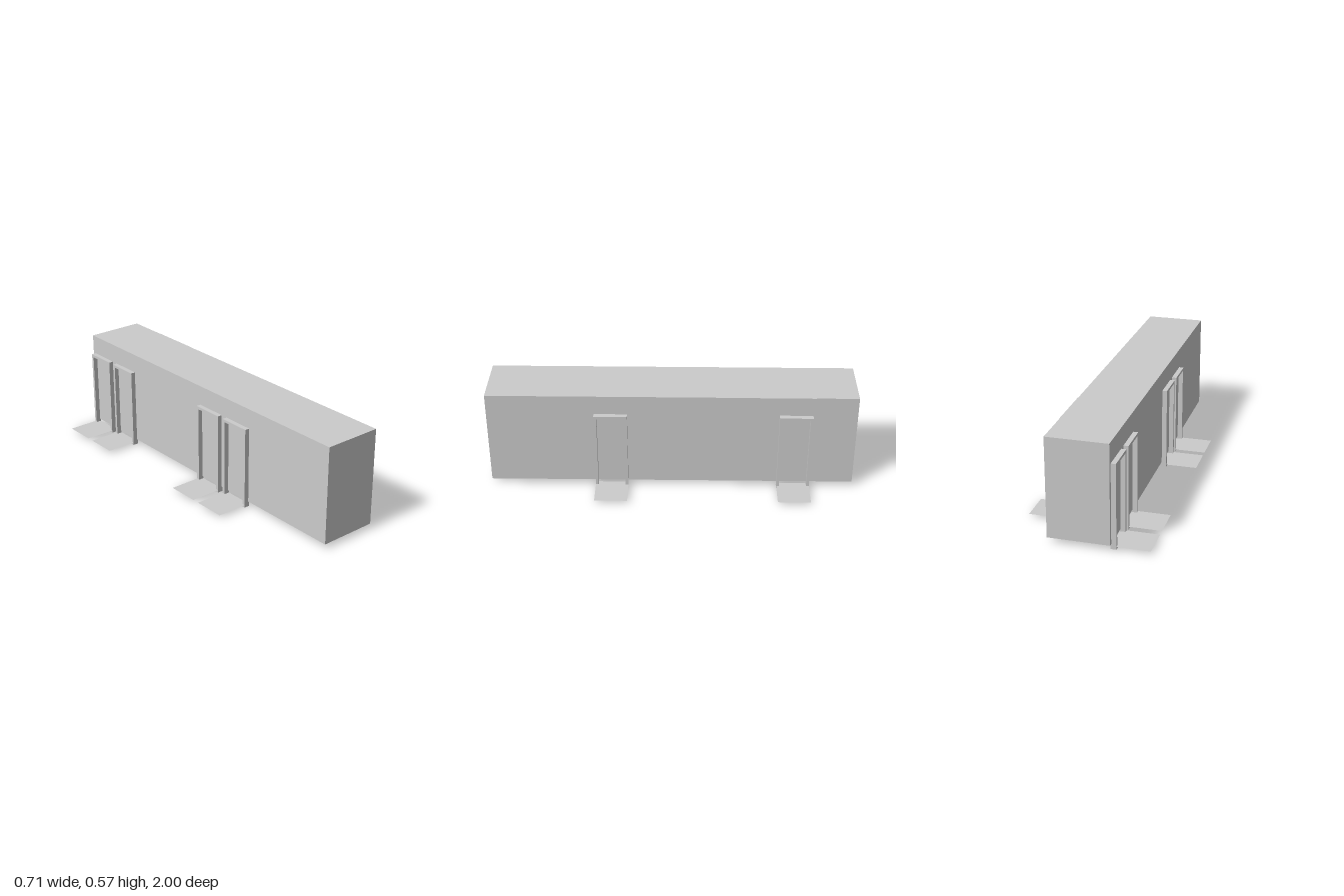
import * as THREE from 'three';

const grey = new THREE.MeshStandardMaterial({ color: 0xcccccc, flatShading: true });
const thin = new THREE.MeshStandardMaterial({ color: 0xcccccc, flatShading: true, side: THREE.DoubleSide });

// Box given by its minimum and maximum corners
function box(name, [x0, y0, z0], [x1, y1, z1]) {
  const mesh = new THREE.Mesh(new THREE.BoxGeometry(x1 - x0, y1 - y0, z1 - z0), grey);
  mesh.position.set((x0 + x1) / 2, (y0 + y1) / 2, (z0 + z1) / 2);
  mesh.name = name;
  return mesh;
}

// Open rectangular door frame with a thin landing plate outside it
function doorway(name, side, centreZ) {
  const width = 0.18, height = 0.457, bar = 0.015, depth = 0.031;
  const group = new THREE.Group();
  group.name = name;

  const outline = new THREE.Shape();
  outline.moveTo(-width / 2, 0).lineTo(width / 2, 0).lineTo(width / 2, height).lineTo(-width / 2, height).closePath();
  const opening = new THREE.Path();
  const w = width / 2 - bar;
  opening.moveTo(-w, 0.013).lineTo(-w, height - bar).lineTo(w, height - bar).lineTo(w, 0.013).closePath();
  outline.holes.push(opening);
  const frame = new THREE.Mesh(
    new THREE.ExtrudeGeometry(outline, { depth, bevelEnabled: false }), grey);
  frame.name = 'doorFrame';
  group.add(frame);

  const plateDepth = side > 0 ? 0.152 : 0.173;
  const plate = new THREE.Mesh(new THREE.PlaneGeometry(width, plateDepth), thin);
  plate.rotation.x = -Math.PI / 2;
  plate.position.set(0, 0.015, depth + plateDepth / 2);
  plate.name = 'landingPlate';
  group.add(plate);

  // Turn the frame so that it faces outwards
  group.rotation.y = side * Math.PI / 2;
  group.position.set(side > 0 ? 0.168 : -0.15, 0, centreZ);
  return group;
}

export function createModel() {
  const model = new THREE.Group();
  model.name = 'longCabin';

  // Plain rectangular hull
  model.add(box('body', [-0.155, 0.028, -0.999], [0.17, 0.566, 1]));

  // Two doorways on the left, four on the right
  [0.33, -0.67].forEach((z, i) => model.add(doorway(`leftDoorway${i + 1}`, 1, z)));
  [0.33, 0.11, -0.67, -0.89].forEach((z, i) => model.add(doorway(`rightDoorway${i + 1}`, -1, z)));

  // Slim strip along the upper edge and small fitting on the back
  model.add(box('edgeStrip', [0.165, 0.547, -0.77], [0.172, 0.566, -0.47]));
  model.add(box('backFitting', [0.005, 0.485, -1], [0.01, 0.505, -0.99]));

  return model;
}
